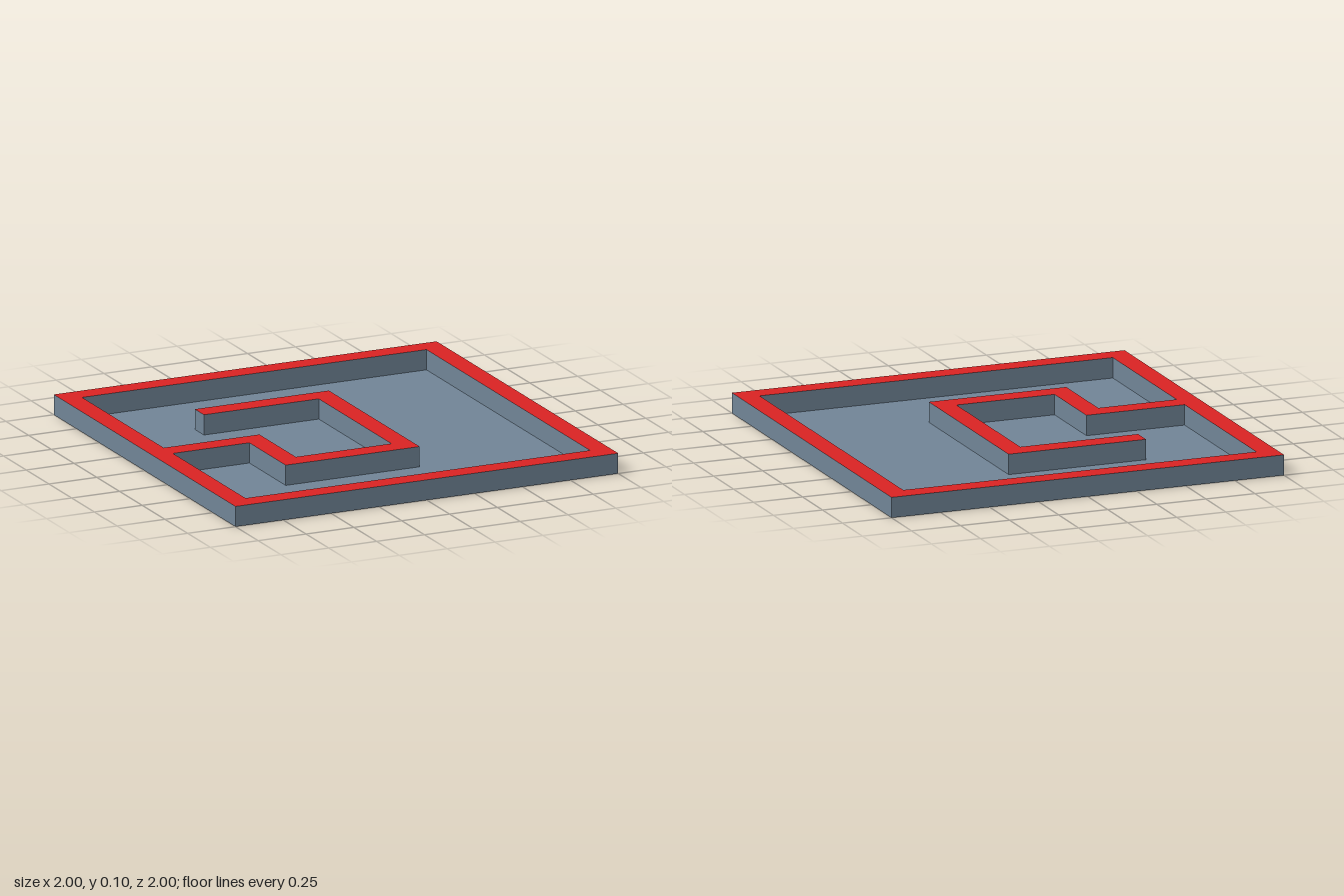
import * as THREE from 'three';
import { mergeGeometries } from 'three/addons/utils/BufferGeometryUtils.js';

const HEIGHT = 0.1;

// Plan outlines as [x, z], ordered so that wall normals face the visible side
const outer = [[-1, 1], [1, 1], [1, -1], [-1, -1]];
const inner = [
  [-0.9, 0], [-0.9, -0.9], [0.9, -0.9], [0.9, 0.9], [-0.9, 0.9], [-0.9, 0.1],
  [-0.5, 0.1], [-0.5, 0.5], [0.2, 0.5], [0.2, -0.5], [-0.5, -0.5], [-0.5, -0.4],
  [0.1, -0.4], [0.1, 0.4], [-0.4, 0.4], [-0.4, 0],
];

const toPoints = (outline) => outline.map(([x, z]) => new THREE.Vector2(x, -z));

// Horizontal sheet facing up
function sheet(shape, y) {
  return new THREE.ShapeGeometry(shape).rotateX(-Math.PI / 2).translate(0, y, 0);
}

// One upright panel per edge of a closed outline
function walls(outline) {
  return mergeGeometries(outline.map(([x, z], i) => {
    const [x2, z2] = outline[(i + 1) % outline.length];
    const dx = x2 - x, dz = z2 - z;
    return new THREE.PlaneGeometry(Math.hypot(dx, dz), HEIGHT)
      .rotateY(-Math.atan2(dz, dx))
      .translate((x + x2) / 2, HEIGHT / 2, (z + z2) / 2);
  }));
}

export function createModel() {
  const group = new THREE.Group();
  const slate = new THREE.MeshStandardMaterial({ color: 0x708496, side: THREE.DoubleSide });
  const red = new THREE.MeshStandardMaterial({ color: 0xd92323, side: THREE.DoubleSide });

  function add(name, geometry, material) {
    const mesh = new THREE.Mesh(geometry, material);
    mesh.name = name;
    group.add(mesh);
  }

  // Floor between the walls; the walls are hollow and open underneath
  add('floor', sheet(new THREE.Shape(toPoints(inner)), 0), slate);
  add('outerWalls', walls(outer), slate);
  add('innerWalls', walls(inner), slate);

  // Red cap over the rim and the winding inner wall
  const cap = new THREE.Shape(toPoints(outer));
  cap.holes.push(new THREE.Path(toPoints(inner)));
  add('wallTops', sheet(cap, HEIGHT), red);

  return group;
}
